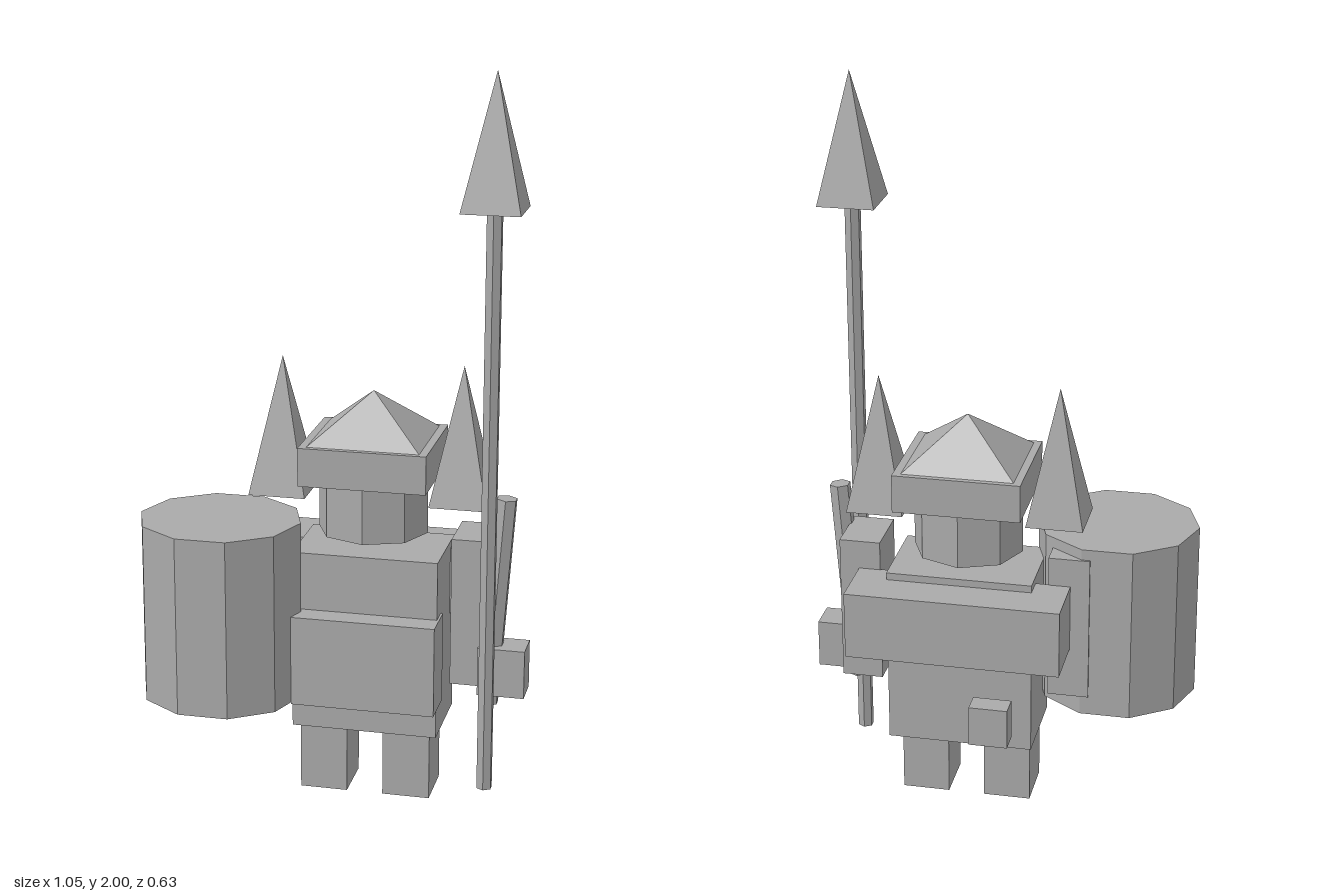
import * as THREE from 'three';

export function createModel() {
  const model = new THREE.Group();
  model.name = 'spearGuard';

  const grey = new THREE.MeshStandardMaterial({ color: 0xaaaaaa });
  grey.name = 'plain grey';
  grey.flatShading = true;

  const add = (name, geometry, x, y, z) => {
    const mesh = new THREE.Mesh(geometry, grey);
    mesh.name = name;
    mesh.position.set(x, y, z);
    model.add(mesh);
    return mesh;
  };

  // Box given by its limits on each axis
  const box = (name, x0, x1, y0, y1, z0, z1) =>
    add(name, new THREE.BoxGeometry(x1 - x0, y1 - y0, z1 - z0),
      (x0 + x1) / 2, (y0 + y1) / 2, (z0 + z1) / 2);

  // Four-sided pyramid with its base square to the axes
  const pyramid = (name, x, z, width, depth, y0, y1) => {
    const g = new THREE.ConeGeometry(Math.SQRT1_2, y1 - y0, 4, 1, false, Math.PI / 4);
    g.scale(width, 1, depth);
    return add(name, g, x, (y0 + y1) / 2, z);
  };

  // Upright prism with a chosen number of sides
  const prism = (name, x, z, rx, rz, y0, y1, sides, turn = 0) => {
    const g = new THREE.CylinderGeometry(1, 1, y1 - y0, sides, 1, false, turn);
    g.scale(rx, 1, rz);
    return add(name, g, x, (y0 + y1) / 2, z);
  };

  const middle = 0.087; // the body's own centre line

  // Torso, front plate, back pack and tail
  box('torso', -0.11, 0.288, 0.195, 0.695, -0.148, 0.095);
  box('frontPlate', -0.097, 0.294, 0.285, 0.535, 0.04, 0.163);
  box('backPack', -0.205, 0.378, 0.488, 0.675, -0.256, -0.09);
  box('tail', -0.077, 0.027, 0.29, 0.402, -0.313, -0.254);

  // Paired legs, arms and shoulder spikes
  for (const [side, s] of [['left', 1], ['right', -1]]) {
    const legX = 0.085 + s * 0.115;
    box(side + 'Leg', legX - 0.065, legX + 0.065, 0, 0.195, -0.085, 0.063);
    const armX = middle + s * 0.288;
    box(side + 'Arm', armX - 0.056, armX + 0.056, 0.345, 0.755, -0.093, 0.065);
    pyramid(side + 'ShoulderSpike', middle + s * 0.246, -0.013, 0.155, 0.16, 0.838, 1.21);
  }

  // Head and peaked hat
  prism('head', middle, -0.026, 0.15, 0.139, 0.737, 0.892, 8);
  box('hatBrim', -0.085, 0.26, 0.892, 0.997, -0.182, 0.128);
  pyramid('hatPeak', middle, -0.027, 0.303, 0.28, 0.997, 1.125);

  // Large drum on the right side
  prism('drum', -0.302, 0.113, 0.222, 0.21, 0.29, 0.785, 10, Math.PI / 10);

  // Hand, spear and slanted rod on the left side
  box('leftHand', 0.395, 0.522, 0.323, 0.457, -0.017, 0.074);
  prism('spearShaft', 0.426, 0.111, 0.022, 0.022, 0.073, 1.65, 6);
  pyramid('spearTip', 0.426, 0.11, 0.155, 0.153, 1.65, 2);
  const rod = prism('rod', 0.439, 0.028, 0.029, 0.028, 0.287, 0.868, 6);
  rod.rotation.z = -0.07;

  return model;
}
